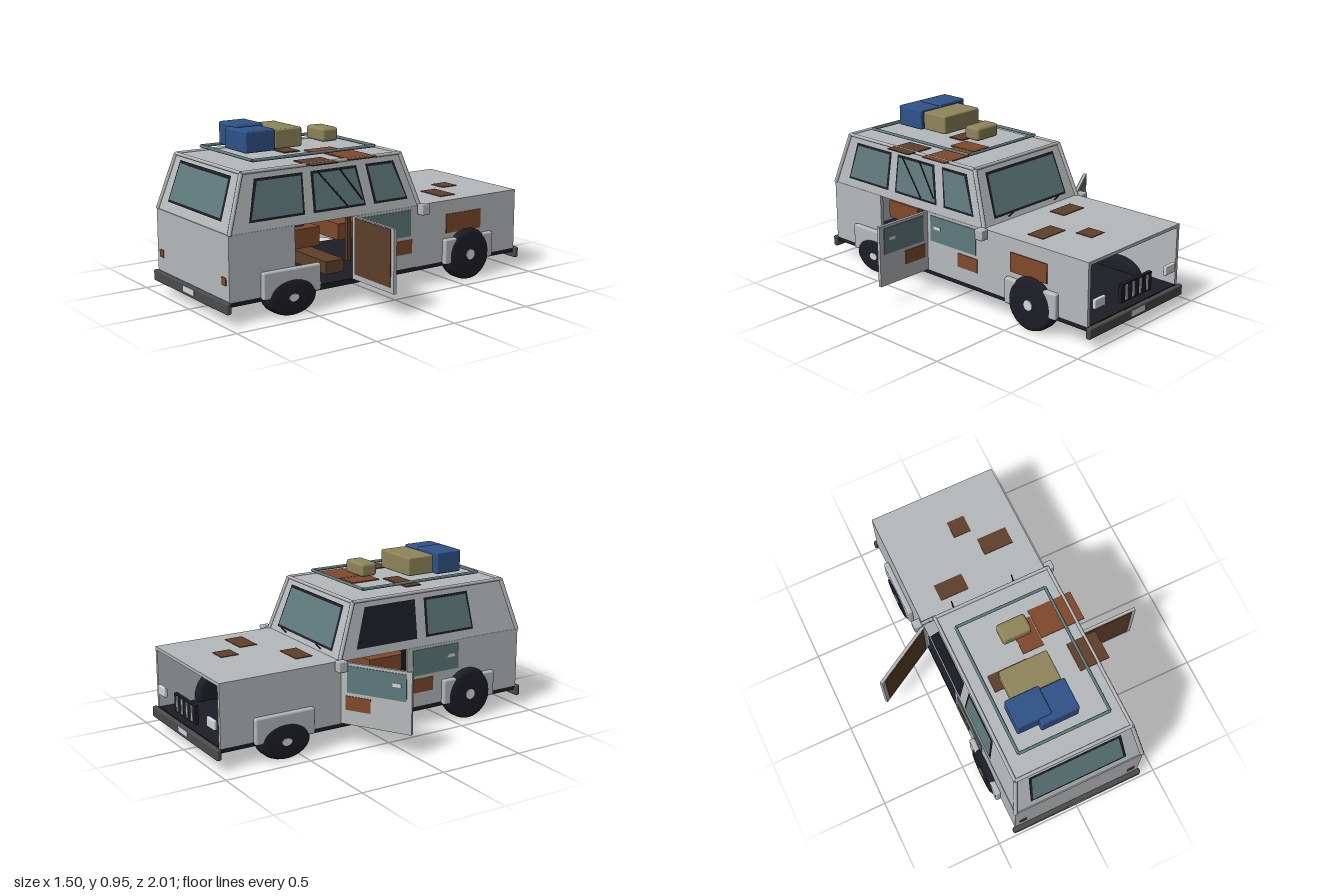
import * as THREE from 'three';
import { RoundedBoxGeometry } from 'three/addons/geometries/RoundedBoxGeometry.js';

const mat = (name, color) => new THREE.MeshStandardMaterial({ name, color, side: THREE.DoubleSide });

export function createModel() {
  const root = new THREE.Group();
  root.name = 'wreckedOffRoader';
  const M = {
    body: mat('bodyGrey', 0xb6babc), glass: mat('tealGlass', 0x5f7a7c), black: mat('rubberBlack', 0x1d1d27),
    brown: mat('rustBrown', 0x5e402a), rust: mat('rustOrange', 0x80492b), blue: mat('caseBlue', 0x305289),
    tan: mat('caseTan', 0x8f855b), bumper: mat('bumperGrey', 0x4b4b4c), light: mat('lampWhite', 0xd4d7da),
  };
  const add = (name, geo, m, parent = root) => {
    const mesh = new THREE.Mesh(geo, m);
    mesh.name = name;
    parent.add(mesh);
    return mesh;
  };
  // Box given by its min and max on each axis
  const box = (name, m, x0, x1, y0, y1, z0, z1, round = 0, parent = root) => {
    const [w, h, d] = [x1 - x0, y1 - y0, z1 - z0];
    const geo = round ? new RoundedBoxGeometry(w, h, d, 2, round) : new THREE.BoxGeometry(w, h, d);
    const mesh = add(name, geo, m, parent);
    mesh.position.set((x0 + x1) / 2, (y0 + y1) / 2, (z0 + z1) / 2);
    return mesh;
  };
  const quad = (name, m, p) => {
    const geo = new THREE.BufferGeometry();
    geo.setAttribute('position', new THREE.Float32BufferAttribute(p.flat(), 3));
    geo.setIndex([0, 1, 2, 0, 2, 3]);
    geo.computeVertexNormals();
    return add(name, geo, m);
  };
  const rod = (name, m, a, b, r) => {
    const [p, q] = [new THREE.Vector3(...a), new THREE.Vector3(...b)];
    const mesh = add(name, new THREE.CylinderGeometry(r, r, p.distanceTo(q), 8), m);
    mesh.position.copy(p).add(q).multiplyScalar(0.5);
    mesh.quaternion.setFromUnitVectors(new THREE.Vector3(0, 1, 0), q.sub(p).normalize());
  };

  // Lower body: floor, side walls, bonnet, tail, open nose
  box('floor', M.black, -0.385, 0.385, 0.1, 0.13, -0.97, 0.97);
  for (const s of [-1, 1]) {
    const x0 = s > 0 ? 0.37 : -0.39;
    box('frontWing', M.body, x0, x0 + 0.02, 0.125, 0.478, -0.97, -0.23);
    box('rearQuarter', M.body, x0, x0 + 0.02, 0.125, 0.478, 0.575, 0.97);
  }
  box('bonnet', M.body, -0.39, 0.39, 0.462, 0.48, -0.97, -0.23);
  box('tailgate', M.body, -0.39, 0.39, 0.125, 0.478, 0.955, 0.975);
  box('leftPillar', M.black, -0.38, -0.36, 0.125, 0.478, 0.17, 0.2);
  box('rightPillar', M.brown, 0.36, 0.38, 0.23, 0.478, 0.21, 0.235);

  // Cabin shell with sloping walls
  const t = y => (y - 0.475) / 0.305;
  const sideX = y => 0.388 - 0.043 * t(y);
  const backZ = y => 0.97 - 0.1 * t(y);
  const frontZ = y => -0.25 + 0.11 * t(y);
  const [lo, hi] = [0.475, 0.78];
  const ring = y => [[-sideX(y), y, backZ(y)], [sideX(y), y, backZ(y)],
    [sideX(y), y, frontZ(y)], [-sideX(y), y, frontZ(y)]];
  const [bottom, top] = [ring(lo), ring(hi)];
  ['cabinRear', 'cabinLeftWall', 'cabinFront', 'cabinRightWall'].forEach((name, i) => {
    const j = (i + 1) % 4;
    quad(name, M.body, [bottom[i], bottom[j], top[j], top[i]]);
    rod('pillarTrim', M.body, bottom[i], top[i], 0.012);
    rod('roofTrim', M.body, top[i], top[j], 0.01);
  });
  quad('roof', M.body, top);

  // Windows: black frame behind a smaller pane, both lying on the sloping wall
  const place = {
    side: s => (h, y, off) => [s * (sideX(y) + off), y, h],
    rear: (h, y, off) => [h, y, backZ(y) + off],
    front: (h, y, off) => [h, y, frontZ(y) - off],
  };
  const windowPane = (name, at, pts, pane = M.glass) => {
    const c = [0, 1].map(k => pts.reduce((a, p) => a + p[k], 0) / 4);
    const inner = pts.map(p => p.map((v, k) => v - Math.sign(v - c[k]) * 0.014));
    quad(name + 'Frame', M.black, pts.map(p => at(p[0], p[1], 0.005)));
    quad(name, pane, inner.map(p => at(p[0], p[1], 0.009)));
  };
  const R = place.side(1), L = place.side(-1);
  windowPane('rearSideWindow', R, [[0.85, 0.525], [0.51, 0.525], [0.505, 0.745], [0.8, 0.745]]);
  windowPane('middleSideWindow', R, [[0.455, 0.525], [0.115, 0.525], [0.16, 0.745], [0.455, 0.745]]);
  windowPane('frontSideWindow', R, [[0.06, 0.525], [-0.17, 0.525], [-0.09, 0.745], [0.1, 0.745]]);
  windowPane('brokenSideWindow', L, [[0.26, 0.525], [-0.14, 0.525], [-0.07, 0.745], [0.26, 0.745]], M.black);
  windowPane('otherSideWindow', L, [[0.65, 0.525], [0.32, 0.525], [0.32, 0.745], [0.62, 0.745]]);
  windowPane('rearWindow', place.rear, [[-0.29, 0.53], [0.29, 0.53], [0.272, 0.755], [-0.272, 0.755]]);
  windowPane('windscreen', place.front, [[-0.3, 0.51], [0.3, 0.51], [0.28, 0.75], [-0.28, 0.75]]);
  for (const [z0, y0, z1, y1] of [[0.41, 0.735, 0.24, 0.54], [0.27, 0.735, 0.14, 0.56]])
    rod('glassCrack', M.black, R(z0, y0, 0.01), R(z1, y1, 0.01), 0.004);
  for (const x of [-0.19, 0.19]) rod('wiper', M.black, [x, 0.5, -0.25], [x, 0.53, -0.28], 0.004);

  // Doors: local x runs from the hinge, outer face on the side of sign o
  const door = (name, x, z, angle, o, len) => {
    const g = new THREE.Group();
    g.name = name;
    g.position.set(x, 0, z);
    g.rotation.y = angle;
    root.add(g);
    const plate = (part, m, u0, u1, y0, y1, n) =>
      box(part, m, u0, u1, y0, y1, n - 0.003, n + 0.003, 0, g);
    box('doorPanel', M.body, 0, len, 0.127, 0.476, -0.009, 0.009, 0, g);
    plate('doorGlass', M.glass, 0.04, len - 0.03, 0.31, 0.46, o * 0.01);
    plate('doorRust', M.rust, 0.03, 0.18, 0.21, 0.29, o * 0.01);
    plate('doorLining', M.brown, 0.025, len - 0.025, 0.158, 0.47, -o * 0.01);
    plate('doorHandle', M.light, len - 0.11, len - 0.06, 0.385, 0.405, o * 0.014);
  };
  door('frontDoorRight', 0.381, -0.23, -Math.PI / 2, -1, 0.42);
  door('rearDoorRightOpen', 0.385, 0.195, 0, -1, 0.365);
  door('rearDoorLeft', -0.381, 0.19, -Math.PI / 2, 1, 0.385);
  door('frontDoorLeftOpen', -0.385, -0.235, -2.61, 1, 0.42);

  // Interior
  box('rearSeat', M.rust, -0.3, 0.3, 0.32, 0.425, 0.36, 0.6);
  box('frontSeat', M.rust, -0.3, 0.3, 0.33, 0.42, 0.0, 0.24);
  box('seatBase', M.brown, -0.3, 0.3, 0.15, 0.22, 0.2, 0.32);
  box('cabinCase', M.blue, 0.1, 0.25, 0.425, 0.46, 0.42, 0.55, 0.01);

  // Wheels and arches; two tyres are flat
  for (const s of [-1, 1]) for (const z of [-0.6, 0.61]) {
    const flat = s * z > 0;
    const wheel = new THREE.Group();
    wheel.name = flat ? 'flatWheel' : 'wheel';
    wheel.position.set(s * 0.375, flat ? 0.103 : 0.15, z);
    wheel.scale.y = flat ? 0.67 : 1;
    root.add(wheel);
    const profile = [[0, -0.052], [0.125, -0.052], [0.145, -0.042], [0.15, -0.025],
      [0.15, 0.025], [0.145, 0.042], [0.125, 0.052], [0, 0.052]].map(p => new THREE.Vector2(...p));
    add('tyre', new THREE.LatheGeometry(profile, 32), M.black, wheel).rotation.z = Math.PI / 2;
    const hub = add('hub', new THREE.CylinderGeometry(0.03, 0.03, 0.01, 16), M.light, wheel);
    hub.rotation.z = Math.PI / 2;
    hub.position.x = s * 0.052;
    const x0 = s > 0 ? 0.385 : -0.42;
    box('wheelArch', M.body, x0, x0 + 0.035, 0.11, 0.26, z - 0.18, z + 0.18, 0.012);
  }

  // Bumpers, plates, lamps, grille, mirrors
  for (const s of [-1, 1]) {
    const slab = (name, m, x0, x1, y0, y1, z, d, round) =>
      box(name, m, x0, x1, y0, y1, s * z - d / 2, s * z + d / 2, round);
    slab('bumper', M.bumper, -0.405, 0.405, 0.067, 0.13, 0.985, 0.03, 0.01);
    slab('numberPlate', M.light, -0.057, 0.06, 0.088, 0.12, 1.0, 0.006);
    box('tailLamp', M.rust, s * 0.34 - 0.021, s * 0.34 + 0.021, 0.21, 0.252, 0.97, 0.98);
    box('headLamp', M.light, s * 0.305 - 0.045, s * 0.305 + 0.045, 0.215, 0.27, -0.985, -0.965, 0.006);
    box('mirror', M.body, s * 0.42 - 0.025, s * 0.42 + 0.025, 0.43, 0.49, -0.285, -0.23, 0.006);
  }
  box('grille', M.black, -0.13, 0.13, 0.18, 0.285, -0.985, -0.965);
  for (let i = 0; i < 4; i++)
    box('grilleBar', M.light, -0.098 + i * 0.06, -0.082 + i * 0.06, 0.19, 0.275, -0.99, -0.984);

  // Rust patches: [material, x0, x1, z0, z1] on the roof and bonnet
  for (const [m, x0, x1, z0, z1] of [[M.rust, 0, 0.125, 0.08, 0.26], [M.rust, 0.13, 0.39, 0.045, 0.22],
    [M.brown, -0.23, 0.005, 0.29, 0.39], [M.brown, 0.235, 0.41, 0.31, 0.48]])
    box('roofRust', m, x0, x1, 0.781, 0.787, z0, z1);
  for (const [x0, x1, z0, z1] of [[0, 0.107, -0.76, -0.655], [0.115, 0.297, -0.587, -0.48], [-0.235, -0.06, -0.43, -0.328]])
    box('bonnetRust', M.brown, x0, x1, 0.479, 0.484, z0, z1);
  box('wingRust', M.rust, 0.388, 0.396, 0.29, 0.4, -0.7, -0.445);

  // Roof rack and luggage
  const corners = [[-0.27, 0.82, -0.025], [0.27, 0.82, -0.025], [0.27, 0.82, 0.755], [-0.27, 0.82, 0.755]];
  corners.forEach((c, i) => rod('roofRack', M.glass, c, corners[(i + 1) % 4], 0.009));
  box('blueCase', M.blue, -0.232, -0.033, 0.828, 0.955, 0.5, 0.665, 0.01);
  box('blueTrunk', M.blue, -0.11, 0.112, 0.825, 0.943, 0.515, 0.7, 0.01);
  box('tanTrunk', M.tan, -0.187, 0.097, 0.828, 0.935, 0.335, 0.51, 0.01);
  box('tanBag', M.tan, -0.085, 0.085, 0.832, 0.91, 0.085, 0.19, 0.018);
  return root;
}
